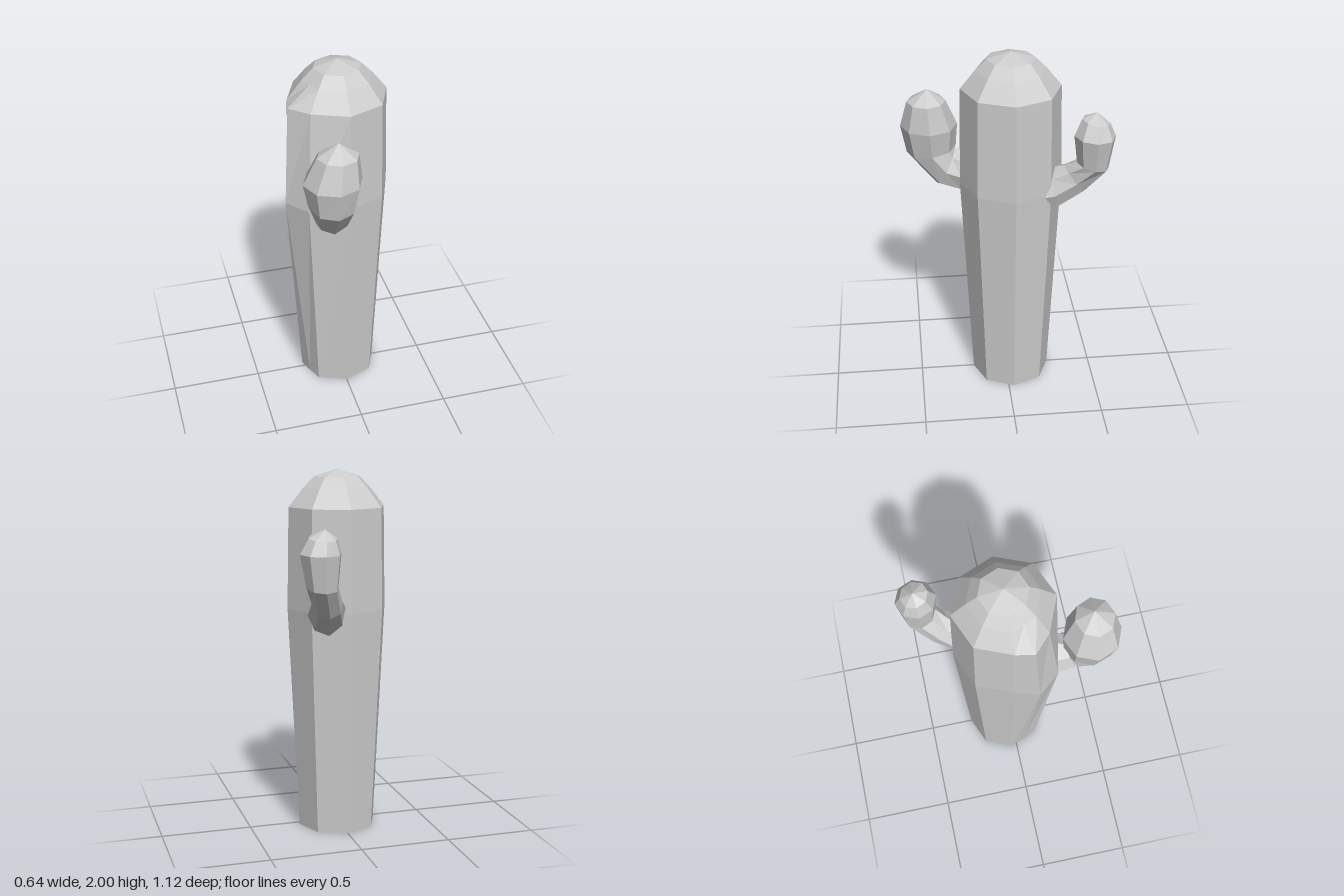
import * as THREE from 'three';

const material = new THREE.MeshStandardMaterial({ color: 0xcccccc, flatShading: true, side: THREE.DoubleSide });

// Faceted skin over equal-sized rings of points, closed by a fan to the tip.
function loft(name, rings, tip) {
  const pos = [];
  const tri = (...pts) => pts.forEach((p) => pos.push(...p));
  rings.forEach((ring, r) => {
    const next = rings[r + 1];
    ring.forEach((a, i) => {
      const j = (i + 1) % ring.length;
      if (!next) return tri(a, tip, ring[j]);
      tri(a, next[i], ring[j]);
      tri(ring[j], next[i], next[j]);
    });
  });
  const geometry = new THREE.BufferGeometry();
  geometry.setAttribute('position', new THREE.Float32BufferAttribute(pos, 3));
  geometry.computeVertexNormals();
  const mesh = new THREE.Mesh(geometry, material);
  mesh.name = name;
  return mesh;
}

// Octagonal trunk ring, with an extra ridge point and a movable front-right corner.
function trunkRing({ y, r, ridge, corner }) {
  const pts = [];
  for (let i = 0; i < 8; i++) {
    const a = (i * Math.PI) / 4;
    pts.push([r * Math.cos(a), y, r * Math.sin(a) - 0.03]);
  }
  if (corner) pts[3] = [corner[0], y, corner[1]];
  pts.splice(4, 0, [ridge[0], y, ridge[1]]);
  return pts;
}

// Eight-sided arm ring between an outer and an inner point of the arm's side outline.
function armRing([zOut, yOut, zIn, yIn, x, halfWidth], side) {
  return Array.from({ length: 8 }, (_, i) => {
    const a = (i * Math.PI) / 4;
    const t = Math.cos(a) / 2;
    return [
      x - side * halfWidth * Math.sin(a),
      (yOut + yIn) / 2 + t * (yOut - yIn),
      (zOut + zIn) / 2 + t * (zOut - zIn),
    ];
  });
}

export function createModel() {
  const group = new THREE.Group();
  group.name = 'cactus';

  // Trunk, open at the bottom, with a domed top
  const trunk = [
    { y: 0, r: 0.22, ridge: [-0.19, 0.05] },
    { y: 1.25, r: 0.28, ridge: [-0.32, 0.1], corner: [-0.22, 0.22] },
    { y: 1.8, r: 0.27, ridge: [-0.29, 0.07] },
    { y: 1.9, r: 0.19, ridge: [-0.165, 0.035] },
    { y: 1.96, r: 0.13, ridge: [-0.11, 0.015] },
  ].map(trunkRing);
  group.add(loft('trunk', trunk, [0, 2, -0.03]));

  // Short front arm with a fat head
  const frontArm = [
    [0.15, 1.12, 0.15, 1.4, -0.11, 0.1],
    [0.24, 1.15, 0.24, 1.4, -0.11, 0.11],
    [0.37, 1.19, 0.27, 1.4, -0.12, 0.1],
    [0.53, 1.38, 0.26, 1.41, -0.14, 0.125],
    [0.56, 1.54, 0.25, 1.54, -0.14, 0.155],
    [0.52, 1.69, 0.31, 1.69, -0.115, 0.11],
  ].map((ring) => armRing(ring, 1));
  group.add(loft('frontArm', frontArm, [-0.11, 1.76, 0.41]));

  // Longer, slimmer back arm bending upward
  const backArm = [
    [-0.17, 1.11, -0.17, 1.36, 0.1, 0.11],
    [-0.26, 1.13, -0.23, 1.37, 0.11, 0.11],
    [-0.42, 1.25, -0.3, 1.4, 0.15, 0.085],
    [-0.53, 1.4, -0.36, 1.44, 0.2, 0.085],
    [-0.56, 1.59, -0.34, 1.6, 0.21, 0.11],
    [-0.53, 1.66, -0.38, 1.69, 0.2, 0.075],
  ].map((ring) => armRing(ring, -1));
  group.add(loft('backArm', backArm, [0.19, 1.72, -0.46]));

  return group;
}
